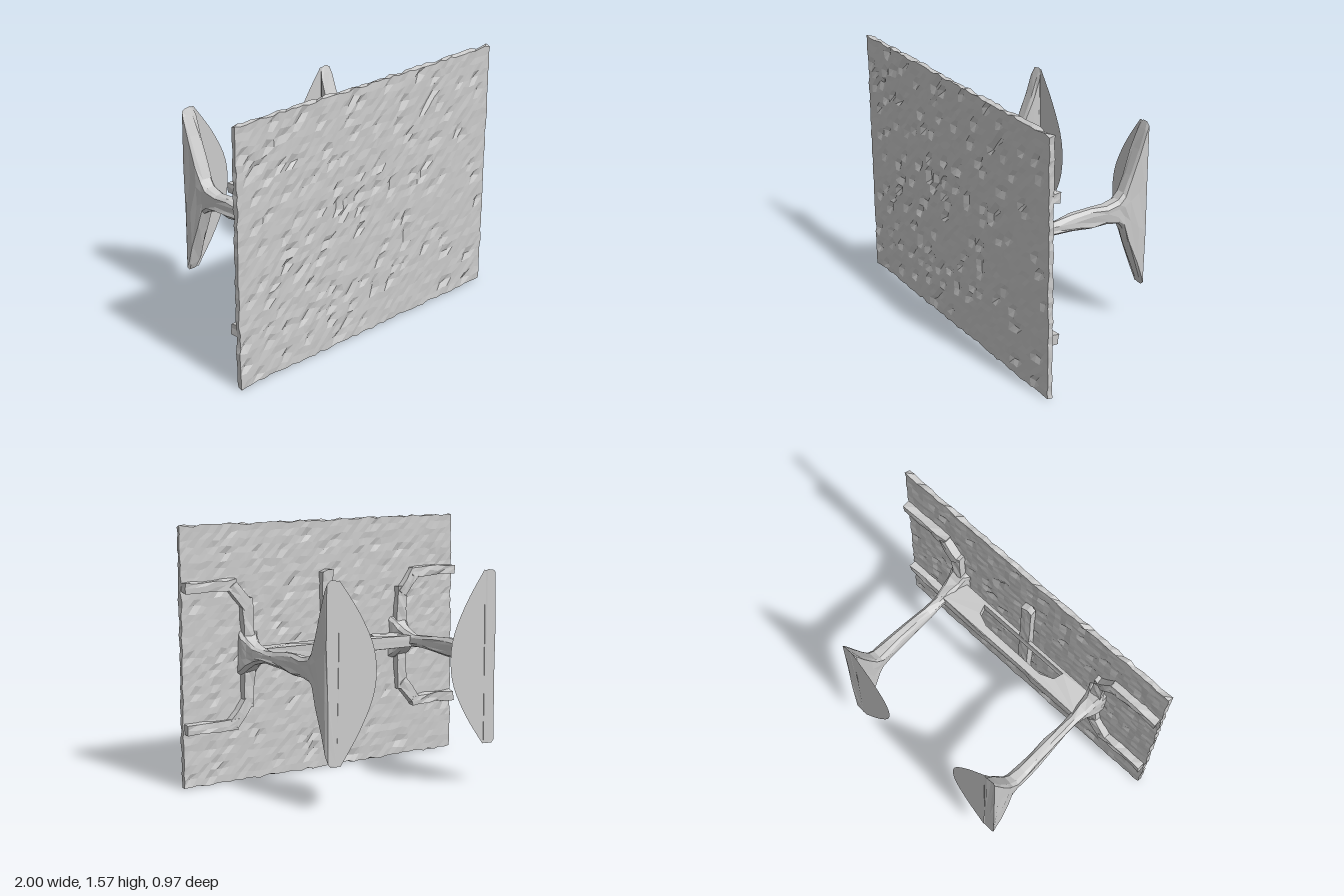
import * as THREE from 'three';

const material = new THREE.MeshStandardMaterial({ color: 0xcccccc, flatShading: true, side: THREE.DoubleSide });

// Repeatable noise in -1..1 that depends only on a position, so seams stay closed
function noise(x, y, z, seed) {
  const r = (v) => Math.round(v * 1000);
  const n = Math.sin(r(x) * 12.9898 + r(y) * 78.233 + r(z) * 37.719 + seed * 11.3) * 43758.5453;
  return (n - Math.floor(n)) * 2 - 1;
}

// Shift every vertex a little to give a hewn, irregular surface
function roughen(geometry, ax, ay, az) {
  const p = geometry.attributes.position;
  for (let i = 0; i < p.count; i++) {
    const x = p.getX(i), y = p.getY(i), z = p.getZ(i);
    p.setXYZ(i, x + ax * noise(x, y, z, 1), y + ay * noise(x, y, z, 2), z + az * noise(x, y, z, 3));
  }
  geometry.computeVertexNormals();
  return geometry;
}

function add(parent, name, geometry) {
  const mesh = new THREE.Mesh(geometry, material);
  mesh.name = name;
  parent.add(mesh);
  return mesh;
}

// Straight rough bar on the panel's back between two xy points
function addBar(parent, name, a, b, width, z0, z1) {
  const dx = b[0] - a[0], dy = b[1] - a[1];
  const length = Math.hypot(dx, dy);
  const g = new THREE.BoxGeometry(length, width, z1 - z0, Math.max(2, Math.round(length / 0.07)), 2, 1);
  g.rotateZ(Math.atan2(dy, dx));
  g.translate((a[0] + b[0]) / 2, (a[1] + b[1]) / 2, (z0 + z1) / 2);
  return add(parent, name, roughen(g, 0.004, 0.008, 0.006));
}

// Arm from chamfered box sections along z: [z, inner x, outer x, low y, high y]
function armGeometry(side) {
  const sections = [
    [0.455, 0.49, 0.62, 0.65, 0.92], [0.42, 0.50, 0.62, 0.67, 0.90], [0.38, 0.51, 0.61, 0.70, 0.865],
    [0.32, 0.515, 0.60, 0.735, 0.84], [0.24, 0.52, 0.585, 0.75, 0.825], [0.14, 0.52, 0.585, 0.75, 0.825],
    [0.03, 0.52, 0.59, 0.738, 0.84], [-0.1, 0.52, 0.595, 0.725, 0.85], [-0.2, 0.515, 0.598, 0.73, 0.84],
    [-0.28, 0.512, 0.6, 0.712, 0.86], [-0.32, 0.51, 0.6, 0.68, 0.90], [-0.36, 0.51, 0.6, 0.57, 1.0],
    [-0.42, 0.505, 0.602, 0.41, 1.14], [-0.46, 0.505, 0.6, 0.30, 1.26], [-0.478, 0.515, 0.595, 0.26, 1.30],
  ];
  const positions = [], index = [], n = 12;
  for (const [z, x0, x1, y0, y1] of sections) {
    const c = 0.02;
    const ya = y0 + (y1 - y0) * 0.35, yb = y0 + (y1 - y0) * 0.65;
    const ring = [[x0 + c, y0], [x1 - c, y0], [x1, y0 + c], [x1, ya], [x1, yb], [x1, y1 - c],
      [x1 - c, y1], [x0 + c, y1], [x0, y1 - c], [x0, yb], [x0, ya], [x0, y0 + c]];
    for (const [x, y] of ring) positions.push(side * x, y, z);
  }
  const tri = (a, b, c) => (side > 0 ? index.push(a, b, c) : index.push(a, c, b));
  for (let s = 0; s < sections.length - 1; s++) {
    for (let i = 0; i < n; i++) {
      const a = s * n + i, b = s * n + (i + 1) % n;
      tri(a, a + n, b);
      tri(b, a + n, b + n);
    }
  }
  const last = (sections.length - 1) * n;
  for (let i = 1; i < n - 1; i++) {
    tri(0, i, i + 1);
    tri(last, last + i + 1, last + i);
  }
  const g = new THREE.BufferGeometry();
  g.setAttribute('position', new THREE.Float32BufferAttribute(positions, 3));
  g.setIndex(index);
  return roughen(g, 0.005, 0.006, 0.004);
}

// Thin end sheet: straight outer edge, bulging inner edge
function sheetGeometry(side) {
  const inner = [[0.51, 1.3], [0.37, 1.1], [0.275, 0.89], [0.275, 0.67], [0.37, 0.46], [0.51, 0.26]];
  const curve = new THREE.SplineCurve(inner.map(([x, y]) => new THREE.Vector2(side * x, y)));
  const shape = new THREE.Shape([new THREE.Vector2(side * 0.59, 0.28), new THREE.Vector2(side * 0.59, 1.29),
    ...curve.getPoints(20)]);
  return new THREE.ShapeGeometry(shape).translate(0, 0, -0.478);
}

// Flat cross brace with a wide tapered opening, drawn as x against z
function braceGeometry() {
  const v = (pts) => pts.map(([x, z]) => new THREE.Vector2(x, z));
  const shape = new THREE.Shape(v([[-0.56, 0.26], [-0.2, 0.258], [-0.14, 0.266], [0.14, 0.262],
    [0.2, 0.258], [0.56, 0.26], [0.56, 0.43], [-0.56, 0.43]]));
  shape.holes.push(new THREE.Path(v([[-0.22, 0.31], [-0.3, 0.345], [-0.32, 0.405], [0.32, 0.405],
    [0.3, 0.345], [0.22, 0.31]])));
  const g = new THREE.ExtrudeGeometry(shape, { depth: 0.07, steps: 2, bevelEnabled: false });
  g.rotateX(Math.PI / 2).translate(0, 0.825, 0);
  return roughen(g, 0.004, 0.008, 0.003);
}

export function createModel() {
  const model = new THREE.Group();
  model.name = 'wallPanelStand';

  // Rough slab, with scattered shallow dents on both faces
  const slab = new THREE.BoxGeometry(1.99, 1.55, 0.03, 46, 36, 1).translate(0, 0.785, 0.467);
  const p = slab.attributes.position;
  for (let i = 0; i < p.count; i++) {
    const x = p.getX(i), y = p.getY(i), z = p.getZ(i);
    const edge = Math.abs(x) > 0.98 || y < 0.03 || y > 1.54;
    if (!edge && noise(x, y, z, 7) > 0.84) p.setZ(i, z + (z > 0.467 ? -0.014 : 0.01));
  }
  add(model, 'panel', roughen(slab, 0.006, 0.008, 0.003));

  // Cross brace joining the arms and the short upright behind it
  add(model, 'crossBrace', braceGeometry());
  addBar(model, 'centreRib', [0, 0.33], [0, 1.25], 0.075, 0.41, 0.455);

  for (const side of [1, -1]) {
    const bracket = new THREE.Group();
    bracket.name = side > 0 ? 'leftBracket' : 'rightBracket';
    model.add(bracket);
    add(bracket, 'arm', armGeometry(side));
    add(bracket, 'endSheet', sheetGeometry(side));

    // C-shaped rib: upright, slanted corner and outward foot, above and below the arm
    for (const up of [1, -1]) {
      const at = (x, y) => [side * x, 0.785 + up * y];
      addBar(bracket, 'uprightRib', at(0.56, 0), at(0.575, 0.33), 0.07, 0.41, 0.455);
      addBar(bracket, 'cornerRib', at(0.572, 0.29), at(0.68, 0.42), 0.07, 0.405, 0.455);
      addBar(bracket, 'outerRib', at(0.65, 0.42), at(0.99, 0.42), 0.06, 0.407, 0.455);
    }
  }
  return model;
}
